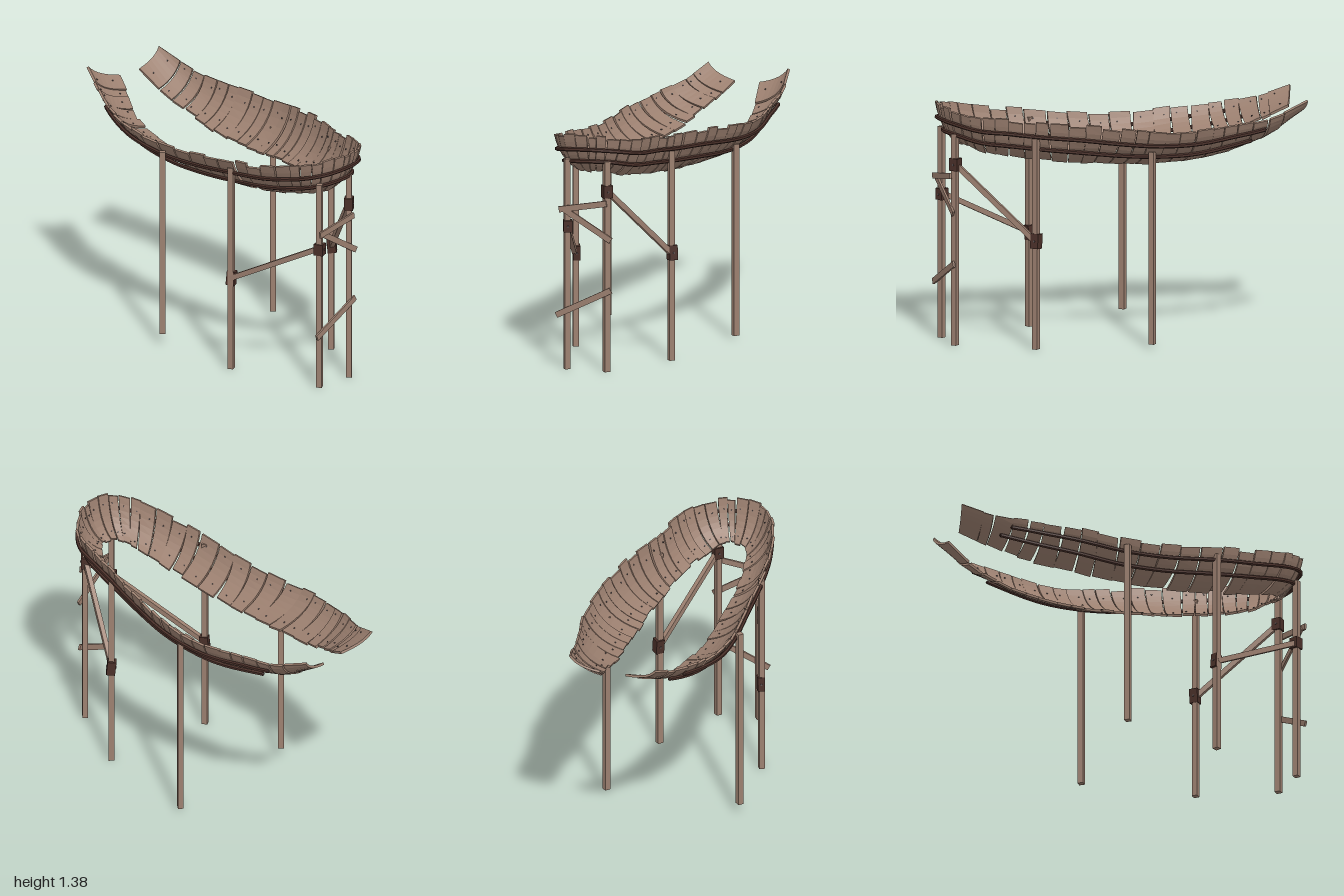
import * as THREE from 'three';
import { mergeGeometries } from 'three/addons/utils/BufferGeometryUtils.js';

const V = (x, y, z) => new THREE.Vector3(x, y, z);
const material = (color) => new THREE.MeshStandardMaterial({ color, flatShading: true });

// Small seeded generator for the hand-built irregularity
let seed = 7;
const rand = (a, b) => {
  seed = (seed * 16807) % 2147483647;
  return a + (b - a) * (seed / 2147483647);
};

// Outer (raised) and inner (low) edges of the banked hairpin, paired station by station
const OUTER = new THREE.CatmullRomCurve3([
  [-1, 1.36, -.19], [-.86, 1.29, -.06], [-.69, 1.25, .1], [-.5, 1.22, .24], [-.24, 1.2, .345],
  [.03, 1.215, .435], [.3, 1.255, .535], [.56, 1.285, .605], [.78, 1.33, .625], [.91, 1.36, .57],
  [.975, 1.37, .43], [.975, 1.36, .29], [.91, 1.34, .15], [.78, 1.33, .05], [.64, 1.31, -.05],
  [.46, 1.3, -.2], [.24, 1.27, -.355], [.06, 1.25, -.445], [-.13, 1.25, -.515], [-.34, 1.265, -.555],
  [-.56, 1.29, -.61], [-.79, 1.37, -.65],
].map((p) => V(...p)));
const INNER = new THREE.CatmullRomCurve3([
  [-.88, 1.28, -.34], [-.76, 1.2, -.235], [-.61, 1.12, -.1], [-.37, 1.07, .04], [-.13, 1.035, .15],
  [.08, 1.035, .245], [.35, 1.06, .355], [.56, 1.09, .435], [.72, 1.12, .475], [.81, 1.14, .475],
  [.86, 1.15, .42], [.86, 1.15, .35], [.8, 1.12, .26], [.7, 1.1, .16], [.54, 1.08, .05],
  [.37, 1.06, -.04], [.18, 1.045, -.14], [0, 1.04, -.215], [-.18, 1.045, -.285], [-.4, 1.085, -.385],
  [-.61, 1.15, -.44], [-.83, 1.28, -.48],
].map((p) => V(...p)));

// Point on the dished track: u runs along it, v goes from inner to outer edge
function track(u, v) {
  const uc = THREE.MathUtils.clamp(u, 0, 1);
  const a = INNER.getPoint(uc), c = OUTER.getPoint(uc);
  const b = a.clone().lerp(c, .78);
  b.y = a.y + (c.y - a.y) * .25;
  return a.multiplyScalar((1 - v) ** 2).addScaledVector(b, 2 * v * (1 - v)).addScaledVector(c, v * v);
}

// Normal pointing below the track
function under(u, v) {
  const e = .004;
  const along = track(Math.min(u + e, 1), v).sub(track(Math.max(u - e, 0), v));
  const across = track(u, v + .02).sub(track(u, v - .02));
  const n = along.cross(across).normalize();
  return n.y > 0 ? n.negate() : n;
}
const offset = (u, v, d) => track(u, v).addScaledVector(under(u, v), d);

// One plank: a box bent onto the track between u0 and u1, rocked slightly by tilt
function plank(u0, u1, v0, v1, skew, lift, tilt) {
  const g = new THREE.BoxGeometry(1, 1, 1, 7, 1, 1);
  const pos = g.attributes.position;
  for (let i = 0; i < pos.count; i++) {
    const v = v0 + (v1 - v0) * (.5 - pos.getX(i));
    const u = u0 + (u1 - u0) * (pos.getZ(i) + .5) + skew * (v - .5);
    const d = (.5 - pos.getY(i)) * .014 - lift + tilt * pos.getZ(i);
    pos.setXYZ(i, ...offset(THREE.MathUtils.clamp(u, 0, 1), v, d).toArray());
  }
  g.computeVertexNormals();
  return g;
}

// Nail head lying on the upper face
function nail(u, v, lift) {
  const g = new THREE.CylinderGeometry(.0045, .0045, .008, 6);
  const up = under(u, v).negate();
  g.applyQuaternion(new THREE.Quaternion().setFromUnitVectors(V(0, 1, 0), up));
  return g.translate(...offset(u, v, -lift - .001).toArray());
}

export function createModel() {
  seed = 7;
  const group = new THREE.Group();
  const wood = material(0x9c8070), dark = material(0x4a3029), metal = material(0x5b5150);
  const add = (name, geometry, mat) => {
    const mesh = new THREE.Mesh(geometry, mat);
    mesh.name = name;
    group.add(mesh);
    return mesh;
  };

  // Track planks: broad end boards, uneven widths, ends and gaps, plus nails
  const planks = [], nails = [];
  const widths = Array.from({ length: 49 }, (_, i) => (i === 0 || i === 48 ? 1.6 : rand(.75, 1.25)));
  const total = widths.reduce((sum, w) => sum + w, 0);
  let start = 0;
  widths.forEach((w, i) => {
    const end = start + w / total;
    const isEnd = i === 0 || i === 48;
    const u0 = start + (i === 0 ? 0 : rand(0, .0013));
    const u1 = end - (i === 48 ? 0 : rand(0, .0013));
    const lift = rand(-.003, .005);
    planks.push(plank(u0, u1, rand(-.02, .05), isEnd ? 1 : rand(.95, 1.03),
      isEnd ? 0 : rand(-.003, .003), lift, rand(-.006, .006)));
    for (const v of [.2, .82]) {
      nails.push(nail(u0 + (u1 - u0) * rand(.25, .75), v + rand(-.06, .06), lift));
    }
    start = end;
  });
  add('trackPlanks', mergeGeometries(planks), wood);
  add('plankNails', mergeGeometries(nails), metal);

  // Two dark rails bent under the planks
  for (const [name, v, from, to] of [['upperRail', .76, .07, .945], ['lowerRail', .48, .06, .93]]) {
    const points = [];
    for (let i = 0; i <= 48; i++) points.push(offset(from + (to - from) * i / 48, v, .023));
    add(name, new THREE.TubeGeometry(new THREE.CatmullRomCurve3(points), 96, .012, 6), dark);
    // Closed rail ends
    for (const p of [points[0], points[48]]) {
      add(name + 'End', new THREE.IcosahedronGeometry(.0125, 0), dark).position.copy(p);
    }
  }

  // Support posts: x, z, bottom, top, turn
  for (const [x, z, bottom, top, turn] of [
    [-.23, .36, .065, 1.16, .45], [.09, -.37, .02, 1.13, .5], [.3, .53, 0, 1.21, .12],
    [.65, -.02, 0, 1.22, .4], [.885, .565, 0, 1.22, .3], [.955, .34, 0, 1.22, .4],
  ]) {
    const post = add('supportPost', new THREE.BoxGeometry(.033, top - bottom, .033), wood);
    post.position.set(x, (top + bottom) / 2, z);
    post.rotation.y = turn;
  }

  // Beams spanning two points
  const beam = (name, a, b, width, height) => {
    const mesh = add(name, new THREE.BoxGeometry(width, height, a.distanceTo(b)), wood);
    mesh.position.copy(a).lerp(b, .5);
    mesh.lookAt(b);
  };
  beam('diagonalBrace', V(.3, .545, .535), V(.885, .835, .565), .026, .03);
  beam('diagonalBrace', V(.65, .62, -.02), V(.955, 1.05, .34), .026, .03);
  beam('crossBoard', V(.912, .93, .61), V(.985, .98, .34), .012, .034);
  beam('crossBoard', V(.912, .93, .58), V(.985, .765, .315), .012, .034);
  beam('crossBoard', V(.9, .315, .625), V(.98, .475, .315), .012, .034);

  // Dark brackets clamping the brace ends, each with a bolt
  for (const [x, y, z, w, h, d, turn, tilt] of [
    [.3, .545, .525, .05, .085, .04, .1, -.1], [.885, .83, .562, .055, .066, .05, .1, 0],
    [.65, .625, -.025, .05, .085, .05, .4, .1], [.953, 1.045, .337, .05, .072, .055, .35, 0],
  ]) {
    const bracket = add('braceBracket', new THREE.BoxGeometry(w, h, d), dark);
    bracket.position.set(x, y, z);
    bracket.rotation.set(0, turn, tilt);
    const bolt = new THREE.Mesh(new THREE.CylinderGeometry(.006, .006, w + .008, 6).rotateZ(Math.PI / 2), metal);
    bolt.name = 'bracketBolt';
    bracket.add(bolt);
  }
  return group;
}
